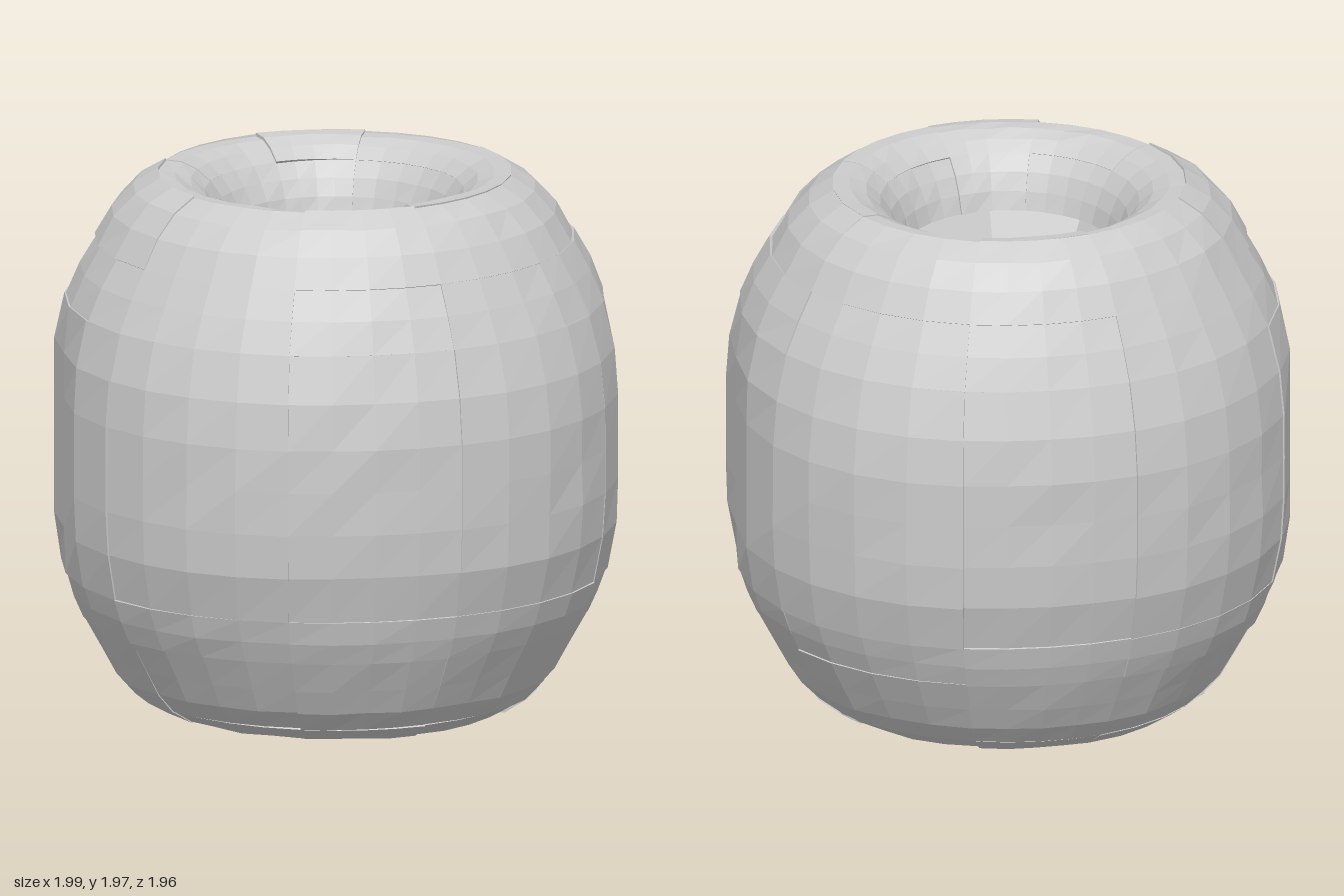
import * as THREE from 'three';

const mat = new THREE.MeshStandardMaterial({ color: 0xcccccc, flatShading: true, side: THREE.DoubleSide });

// Half section as [radius, height] from above the equator to the lip; the throats end it
const shoulder = [[1.015, 1.25], [0.97, 1.52], [0.865, 1.74], [0.77, 1.89], [0.64, 1.98]];
const upperThroat = [[0.55, 1.965], [0.47, 1.91], [0.41, 1.82], [0.38, 1.72]];
const lowerThroat = [[0.47, 0.13], [0.55, 0.04]];
const profile = [...lowerThroat, ...shoulder.map(([r, y]) => [r, 2 - y]).reverse(), [1.02, 1],
  ...shoulder, ...upperThroat];
const section = new THREE.CatmullRomCurve3(profile.map(([r, y]) => new THREE.Vector3(r, y, 0)));
const SPANS = profile.length - 1;

// Seams between panels: positions along the section, and angles from the front
const rowSeams = [0, 1.5, 2.7, 4.5, 5.2, 9, 10, 12, 14, SPANS];
const columnSeams = [-18, 18, 61, 116, 162, 198, 244, 299, 342];

function seeded(seed) {
  return () => {
    seed = (seed * 16807) % 2147483647;
    return seed / 2147483647;
  };
}

// Plan outline: squared with flat sides at the belt, oval at the shoulders, round at the throats
function planPoint(angle, radius, y) {
  const { lerp, smoothstep, clamp } = THREE.MathUtils;
  const height = Math.abs(y - 1);
  const power = lerp(2.15, 2, smoothstep(height, 0.3, 0.75));
  const sin = Math.sin(angle), cos = Math.cos(angle);
  const r = radius * (Math.abs(sin) ** power + Math.abs(cos) ** power) ** (-1 / power);
  const depth = lerp(0.96, 0.935, smoothstep(height, 0.25, 0.5));
  return [clamp(r * sin, -0.993, 0.993), r * cos * lerp(1, depth, smoothstep(radius, 0.4, 0.7))];
}

// One curved plate, with its border turned inwards to close the stepped seams
function panelGeometry(u0, u1, a0, a1, random) {
  const rows = Math.max(2, Math.round((u1 - u0) * 1.5)), cols = 4;
  const lift = (random() - 0.5) * 0.01;
  const tiltA = (random() - 0.5) * 0.014, tiltU = (random() - 0.5) * 0.01;
  const positions = [], index = [];
  for (let j = -1; j <= rows + 1; j++) {
    for (let i = -1; i <= cols + 1; i++) {
      const s = THREE.MathUtils.clamp(i / cols, 0, 1), t = THREE.MathUtils.clamp(j / rows, 0, 1);
      const u = THREE.MathUtils.lerp(u0, u1, t) / SPANS;
      const angle = THREE.MathUtils.degToRad(THREE.MathUtils.lerp(a0, a1, s));
      const p = section.getPoint(u), d = section.getTangent(u);
      const border = i < 0 || j < 0 || i > cols || j > rows;
      const inside = i > 0 && j > 0 && i < cols && j < rows;
      let offset = lift + tiltA * (s - 0.5) + tiltU * (t - 0.5);
      if (border) offset -= 0.05;
      if (inside) offset += (random() - 0.5) * 0.008;
      const [x, z] = planPoint(angle, p.x + d.y * offset, p.y);
      positions.push(x, p.y - d.x * offset, z);
    }
  }
  const w = cols + 3;
  for (let j = 0; j < rows + 2; j++) {
    for (let i = 0; i < cols + 2; i++) {
      const a = j * w + i;
      index.push(a, a + 1, a + w + 1, a, a + w + 1, a + w);
    }
  }
  const geometry = new THREE.BufferGeometry();
  geometry.setAttribute('position', new THREE.Float32BufferAttribute(positions, 3));
  geometry.setIndex(index);
  geometry.computeVertexNormals();
  return geometry;
}

export function createModel() {
  const model = new THREE.Group();
  model.name = 'barrelBead';
  const random = seeded(421);

  // Plated outer wall, rounded lips and throats
  const shell = new THREE.Group();
  shell.name = 'platedShell';
  for (let r = 0; r < rowSeams.length - 1; r++) {
    for (let c = 0; c < columnSeams.length - 1; c++) {
      const panel = new THREE.Mesh(panelGeometry(rowSeams[r], rowSeams[r + 1],
        columnSeams[c], columnSeams[c + 1], random), mat);
      panel.name = `panelRow${r + 1}Column${c + 1}`;
      shell.add(panel);
    }
  }
  model.add(shell);

  // Core with a shallow dish above and a wide faceted cavity below
  const coreProfile = [[0, 0.5], [0.42, 0.5], [0.52, 0.13], [0.62, 0.3], [0.62, 1.5],
    [0.46, 1.74], [0.36, 1.56], [0, 1.5]];
  const core = new THREE.Mesh(
    new THREE.LatheGeometry(coreProfile.map(([r, y]) => new THREE.Vector2(r, y)), 8), mat);
  core.name = 'core';
  model.add(core);

  // Low faceted block on the floor of each hollow
  for (const side of [1, -1]) {
    const geometry = new THREE.CylinderGeometry(0.08, 0.31, 0.1, 4);
    geometry.rotateY(Math.PI / 4);
    const block = new THREE.Mesh(geometry, mat);
    block.name = side > 0 ? 'upperCoreBlock' : 'lowerCoreBlock';
    block.scale.set(1.1, 1, 0.75);
    block.rotation.x = side > 0 ? 0 : Math.PI;
    block.position.set(0.07, 1 + side * 0.56, -0.04);
    model.add(block);
  }
  return model;
}
